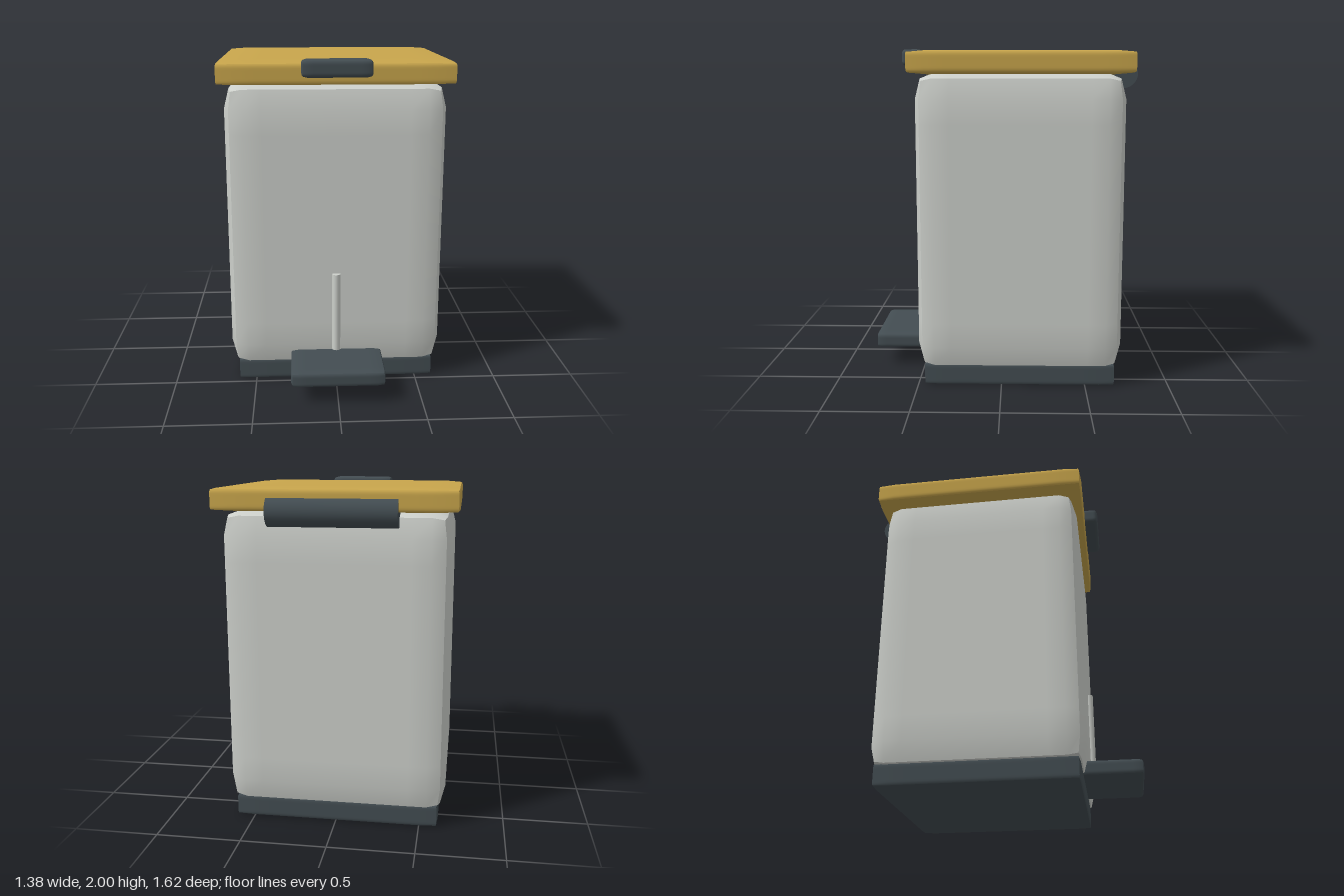
import * as THREE from 'three';

const material = (name, color) => {
  const m = new THREE.MeshStandardMaterial({ color });
  m.name = name;
  return m;
};

// Box with softened edges: each vertex is pulled to within r of an inner core.
// Faces keep their own normals, so the edges between them stay crisp.
function softBox(min, max, r, segments = 12) {
  const size = max.map((v, i) => v - min[i]);
  const geo = new THREE.BoxGeometry(...size, segments, segments, segments);
  const core = new THREE.Vector3(...size).multiplyScalar(0.5).subScalar(r);
  const coreMin = core.clone().negate();
  const pos = geo.attributes.position;
  const p = new THREE.Vector3(), c = new THREE.Vector3();
  for (let i = 0; i < pos.count; i++) {
    p.fromBufferAttribute(pos, i);
    c.copy(p).clamp(coreMin, core);
    p.sub(c).normalize().multiplyScalar(r).add(c);
    pos.setXYZ(i, p.x, p.y, p.z);
  }
  geo.computeVertexNormals();
  geo.translate(...min.map((v, i) => (v + max[i]) / 2));
  return geo;
}

export function createModel() {
  const group = new THREE.Group();
  group.name = 'pedalBin';
  const grey = material('light grey', 0xcdd0cb);
  const gold = material('mustard', 0xc9a64c);
  const dark = material('dark slate', 0x434d52);

  const add = (name, geo, mat) => {
    const mesh = new THREE.Mesh(geo, mat);
    mesh.name = name;
    group.add(mesh);
    return mesh;
  };

  // Container
  add('base', softBox([-0.61, 0, -0.68], [0.61, 0.135, 0.465], 0.02), dark);
  add('body', softBox([-0.65, 0.1, -0.715], [0.65, 1.85, 0.5], 0.1), grey);

  // Lid with its front grip and rear hinge barrel
  add('lid', softBox([-0.69, 1.845, -0.76], [0.69, 1.98, 0.54], 0.03), gold);
  add('lidGrip', softBox([-0.2, 1.9, 0.5], [0.2, 2, 0.625], 0.025), dark);
  const hinge = add('hinge', new THREE.CylinderGeometry(0.085, 0.085, 0.725, 32), dark);
  hinge.rotation.z = Math.PI / 2;
  hinge.position.set(0, 1.85, -0.72);

  // Foot pedal and the rod above it
  add('pedal', softBox([-0.28, 0.11, 0.42], [0.28, 0.205, 0.81], 0.025), dark);
  const rod = add('pedalRod', new THREE.CylinderGeometry(0.025, 0.025, 0.495, 16), grey);
  rod.position.set(0, 0.4625, 0.505);

  return group;
}
